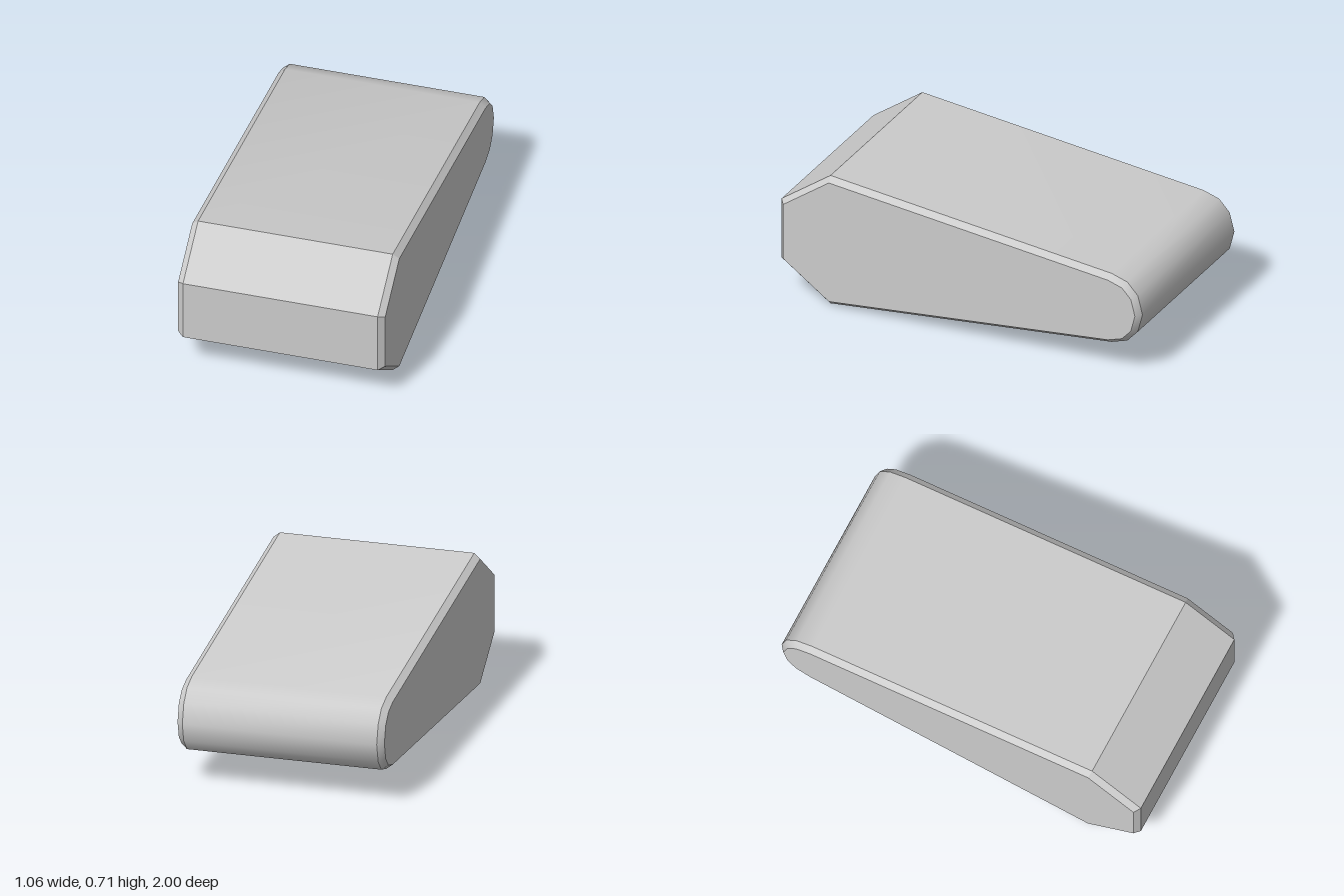
import * as THREE from 'three';
import { toCreasedNormals } from 'three/addons/utils/BufferGeometryUtils.js';

export function createModel() {
  const group = new THREE.Group();
  group.name = 'taperedBlock';
  const grey = new THREE.MeshStandardMaterial({ color: 0xcccccc });
  grey.name = 'lightGrey';

  // Side outline as [z, y]: chamfered front, rounded tail
  const tailY = 0.344;
  const tailTop = [[-0.825, 0.51], [-0.903, 0.485], [-0.952, 0.432]];
  const tailBottom = tailTop.map(([z, y]) => [z, 2 * tailY - y]).reverse();
  const outline = [
    [0.975, 0.205], [0.975, 0.507], [0.722, 0.686],
    ...tailTop, [-0.975, tailY], ...tailBottom,
    [0.722, 0.026],
  ];
  const shape = new THREE.Shape(outline.map(([z, y]) => new THREE.Vector2(z, y)));

  // Extrude across the width, with one bevel along each side
  const width = 1.0;
  const solid = new THREE.ExtrudeGeometry(shape, {
    depth: width, bevelEnabled: true, bevelSegments: 1,
    bevelThickness: 0.032, bevelSize: 0.025,
  });
  solid.translate(0, 0, -width / 2);
  solid.rotateY(-Math.PI / 2);

  // Smooth tail, sharp front edges and bevels
  const body = new THREE.Mesh(toCreasedNormals(solid, 0.53), grey);
  body.name = 'body';
  group.add(body);
  return group;
}
